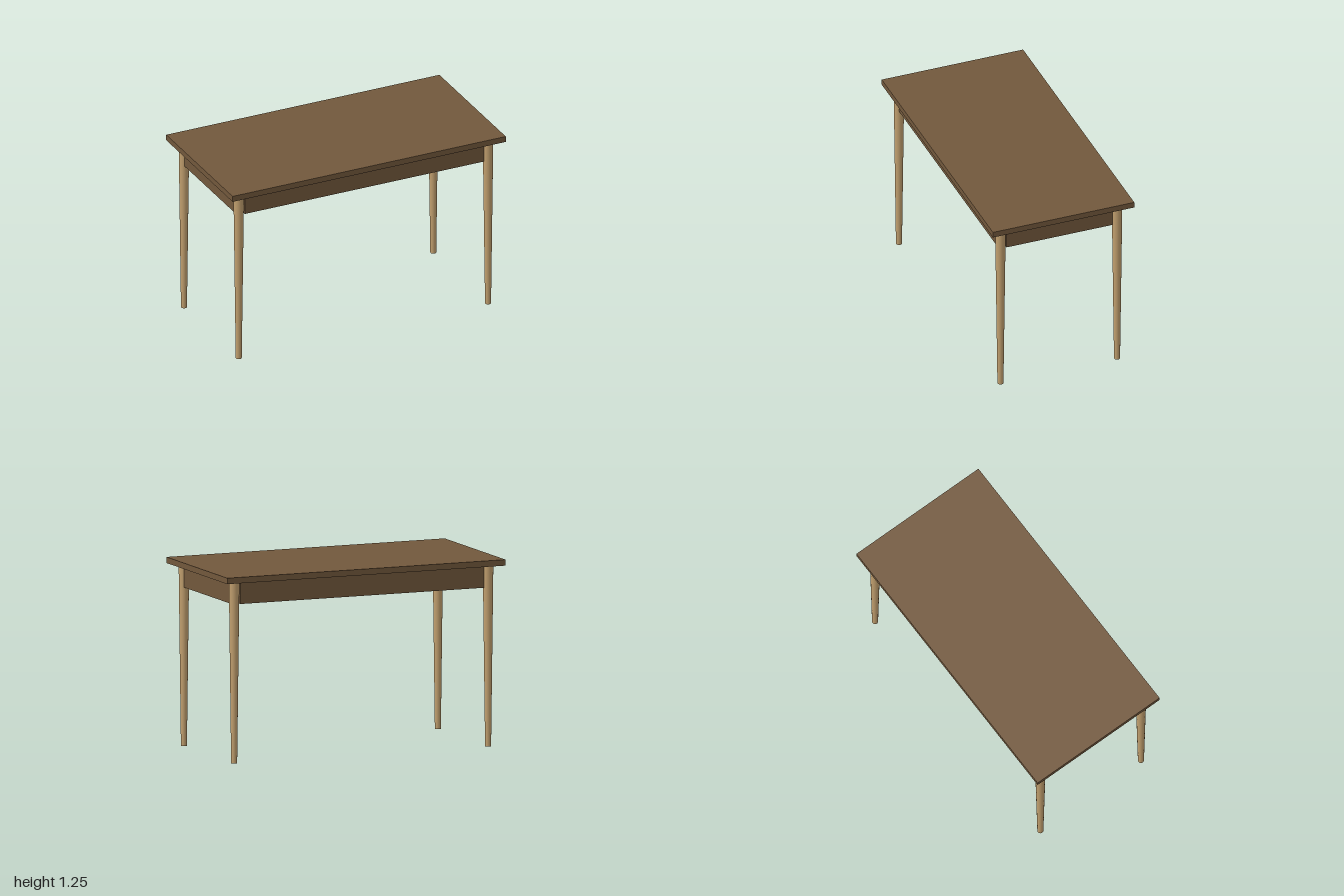
import * as THREE from 'three';

export function createModel() {
  const table = new THREE.Group();
  table.name = 'table';

  const darkWood = new THREE.MeshStandardMaterial({ color: 0x72583c });
  darkWood.name = 'dark wood';
  const lightWood = new THREE.MeshStandardMaterial({ color: 0xc19f6e });
  lightWood.name = 'light wood';

  const height = 1.25, topThickness = 0.04;
  const underside = height - topThickness;
  const legX = 0.9125, legZ = 0.4125;
  const apronHeight = 0.15, apronThickness = 0.03;

  const add = (name, geometry, material, x, y, z) => {
    const mesh = new THREE.Mesh(geometry, material);
    mesh.name = name;
    mesh.position.set(x, y, z);
    table.add(mesh);
  };

  // Table top
  add('tableTop', new THREE.BoxGeometry(2, topThickness, 1), darkWood, 0, height - topThickness / 2, 0);

  // Aprons run between the legs, in line with the leg centres
  const longApron = new THREE.BoxGeometry(1.75, apronHeight, apronThickness);
  const shortApron = new THREE.BoxGeometry(apronThickness, apronHeight, 0.75);
  const apronY = underside - apronHeight / 2;
  add('frontApron', longApron, darkWood, 0, apronY, legZ);
  add('backApron', longApron, darkWood, 0, apronY, -legZ);
  add('leftApron', shortApron, darkWood, legX, apronY, 0);
  add('rightApron', shortApron, darkWood, -legX, apronY, 0);

  // Round legs, tapering to the floor
  const leg = new THREE.CylinderGeometry(0.035, 0.02, underside, 20);
  for (const [side, x] of [['Left', legX], ['Right', -legX]]) {
    for (const [end, z] of [['front', legZ], ['back', -legZ]]) {
      add(`${end}${side}Leg`, leg, lightWood, x, underside / 2, z);
    }
  }

  return table;
}
